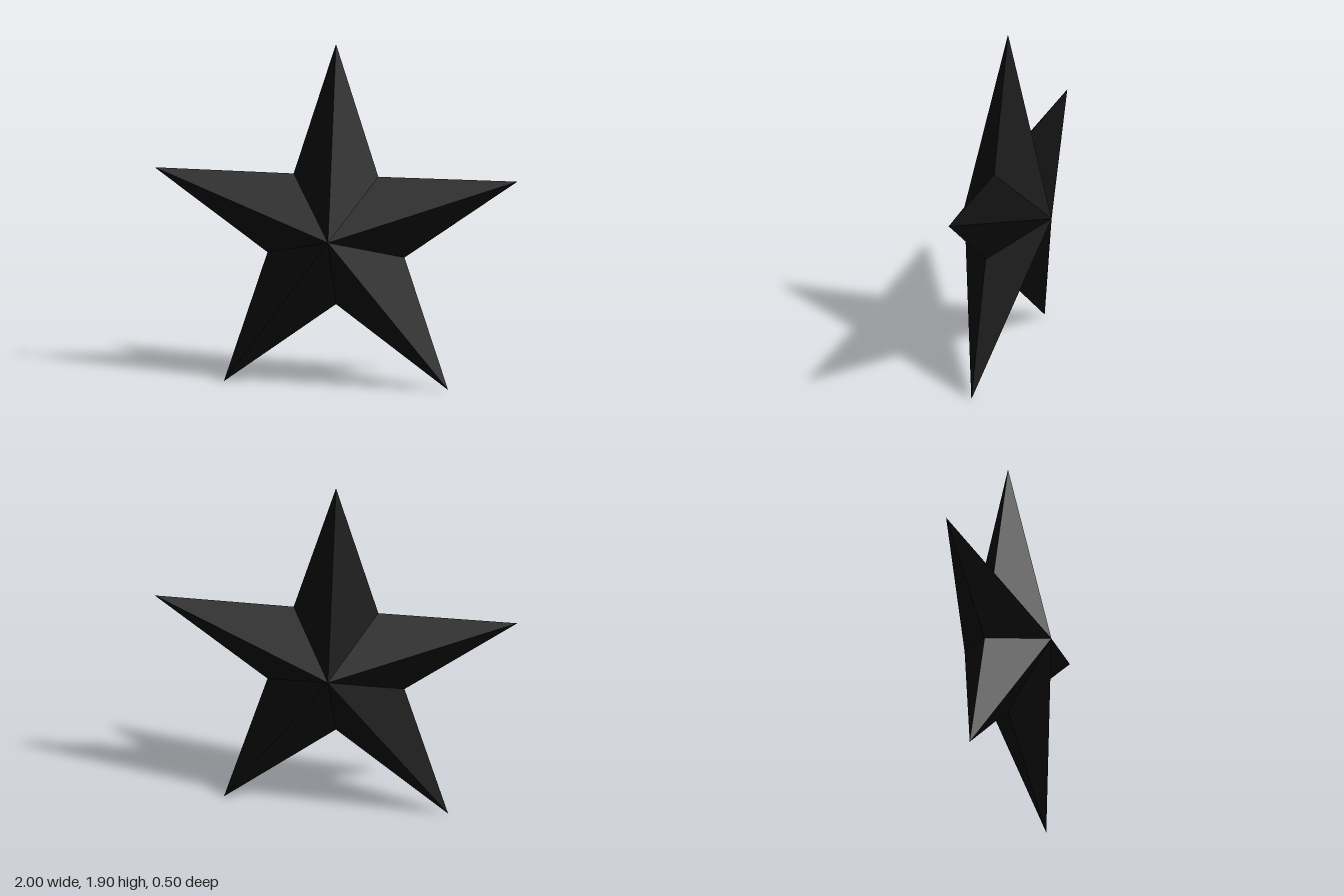
import * as THREE from 'three';

const OUTER = 1.0515, INNER = 0.397, DEPTH = 0.25;
const CENTER_Y = OUTER * Math.cos(Math.PI / 5);

export function createModel() {
  const group = new THREE.Group();
  group.name = 'star';

  // Star outline: tips and notches alternate clockwise from the top
  const rim = (i) => {
    const r = i % 2 ? INNER : OUTER, a = (i * Math.PI) / 5;
    return [r * Math.sin(a), CENTER_Y + r * Math.cos(a), 0];
  };

  // Each outline edge joins to a front and a back peak
  const front = [0, CENTER_Y, DEPTH], back = [0, CENTER_Y, -DEPTH];
  const positions = [];
  for (let i = 0; i < 10; i++) {
    const a = rim(i), b = rim(i + 1);
    positions.push(...front, ...b, ...a, ...back, ...a, ...b);
  }
  const geometry = new THREE.BufferGeometry();
  geometry.setAttribute('position', new THREE.Float32BufferAttribute(positions, 3));
  geometry.computeVertexNormals();

  const body = new THREE.Mesh(
    geometry,
    new THREE.MeshStandardMaterial({ color: 0x0d0d0d, flatShading: true })
  );
  body.name = 'facetedStarBody';
  group.add(body);
  return group;
}
